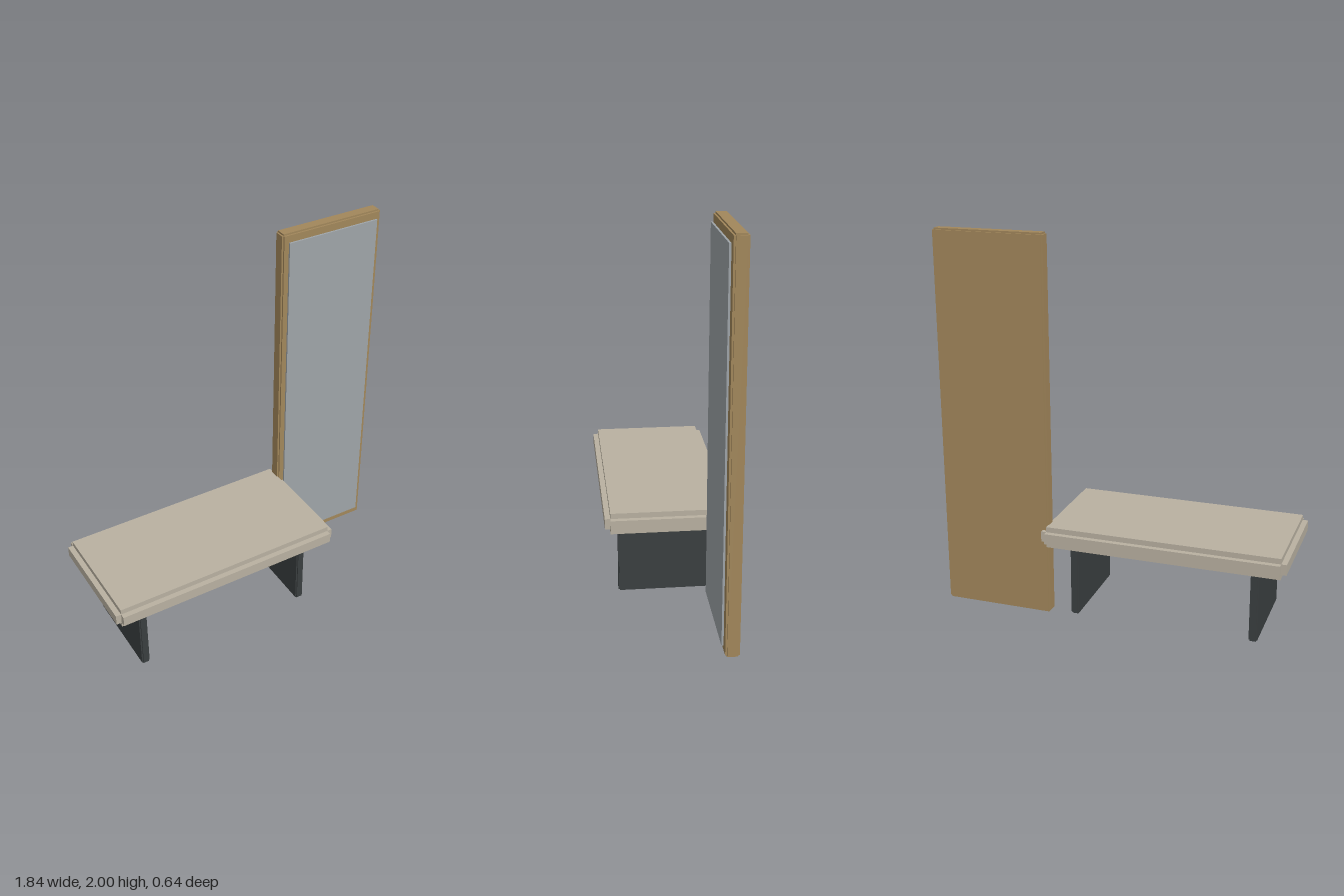
import * as THREE from 'three';

const material = (color) => new THREE.MeshStandardMaterial({ color });

// Block with stepped edges: three crossing boxes, each pulled in by r along two axes
function steppedBlock(name, mat, size, centre, r) {
  const group = new THREE.Group();
  group.name = name;
  const [w, h, d] = size;
  const boxes = [
    [w, h - 2 * r, d - 2 * r],
    [w - 2 * r, h, d - 2 * r],
    [w - 2 * r, h - 2 * r, d],
  ];
  boxes.forEach((box, i) => {
    const mesh = new THREE.Mesh(new THREE.BoxGeometry(...box), mat);
    mesh.name = name + ['Width', 'Height', 'Depth'][i];
    group.add(mesh);
  });
  group.position.set(...centre);
  return group;
}

export function createModel() {
  const model = new THREE.Group();
  model.name = 'benchWithMirror';
  const stone = material(0xb9b1a1);
  const wood = material(0xa2875b);
  const dark = material(0x3a3f40);
  const glass = material(0x9fa5a9);

  // Bench seat
  model.add(steppedBlock('seat', stone, [1.28, 0.112, 0.644], [-0.28, 0.441, 0], 0.028));

  // Panel legs under the seat
  [['rightLeg', -0.757], ['leftLeg', 0.196]].forEach(([name, x]) =>
    model.add(steppedBlock(name, dark, [0.044, 0.382, 0.5], [x, 0.195, 0], 0.007)));

  // Tall backing panel that frames the mirror
  model.add(steppedBlock('mirrorFrame', wood, [0.588, 2, 0.07], [0.622, 1, -0.238], 0.009));

  // Mirror glass on the front of the panel
  const mirror = new THREE.Mesh(new THREE.BoxGeometry(0.525, 1.905, 0.01), glass);
  mirror.name = 'mirrorGlass';
  mirror.position.set(0.623, 1.003, -0.193);
  model.add(mirror);

  return model;
}
